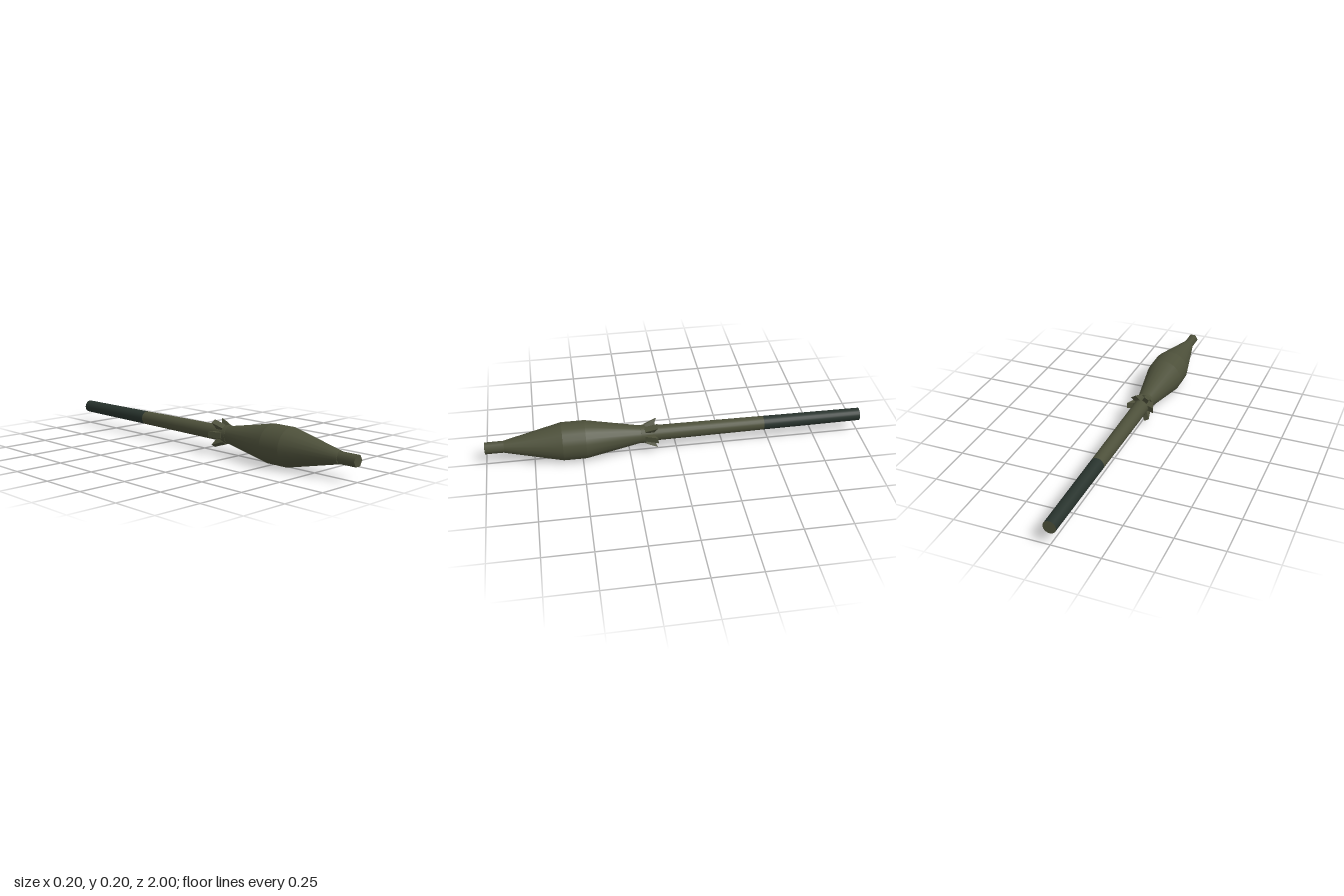
import * as THREE from 'three';

const olive = new THREE.MeshStandardMaterial({ color: 0x4d503a });
olive.name = 'olive';
const darkGreen = new THREE.MeshStandardMaterial({ color: 0x28332d });
darkGreen.name = 'darkGreen';

const AXIS_Y = 0.1;

// Tapered section along z, from zBack to zFront
function section(name, zBack, zFront, rBack, rFront, sides, material, open = false) {
  const geo = new THREE.CylinderGeometry(rFront, rBack, zFront - zBack, sides, 1, open, Math.PI / 2);
  geo.rotateX(Math.PI / 2);
  const mesh = new THREE.Mesh(geo, material);
  mesh.name = name;
  mesh.position.set(0, AXIS_Y, (zBack + zFront) / 2);
  return mesh;
}

// Wedge-shaped fin: profile in (radius, z), extruded across its width
function fin(angle, index) {
  const width = 0.03;
  const shape = new THREE.Shape([
    new THREE.Vector2(0.03, 0.17),
    new THREE.Vector2(0.03, 0.12),
    new THREE.Vector2(0.045, 0.118),
    new THREE.Vector2(0.076, 0.104),
    new THREE.Vector2(0.05, 0.17),
  ]);
  const geo = new THREE.ExtrudeGeometry(shape, { depth: width, bevelEnabled: false });
  geo.translate(0, 0, -width / 2);
  geo.rotateX(Math.PI / 2);
  geo.rotateZ(angle);
  const mesh = new THREE.Mesh(geo, olive);
  mesh.name = 'fin' + (index + 1);
  mesh.position.y = AXIS_Y;
  return mesh;
}

export function createModel() {
  const model = new THREE.Group();
  model.name = 'finnedProjectile';

  // Head, from the tip backwards
  model.add(
    section('noseTip', 0.89, 1, 0.031, 0.031, 6, olive),
    section('frontCone', 0.6, 0.9, 0.1, 0.032, 20, olive),
    section('bodyBand', 0.48, 0.6, 0.1, 0.1, 20, olive, true),
    section('rearCone', 0.19, 0.48, 0.046, 0.1, 20, olive),
    section('collar', 0.165, 0.19, 0.048, 0.048, 20, olive),
  );

  // Ring of six fins behind the collar
  const fins = new THREE.Group();
  fins.name = 'fins';
  for (let i = 0; i < 6; i++) fins.add(fin(i * Math.PI / 3, i));
  model.add(fins);

  // Tail tube with a dark rear half and an olive end cap
  model.add(
    section('frontTube', -0.47, 0.17, 0.0365, 0.041, 20, olive, true),
    section('rearTube', -1, -0.47, 0.0335, 0.0365, 20, [darkGreen, olive, olive]),
  );
  return model;
}
